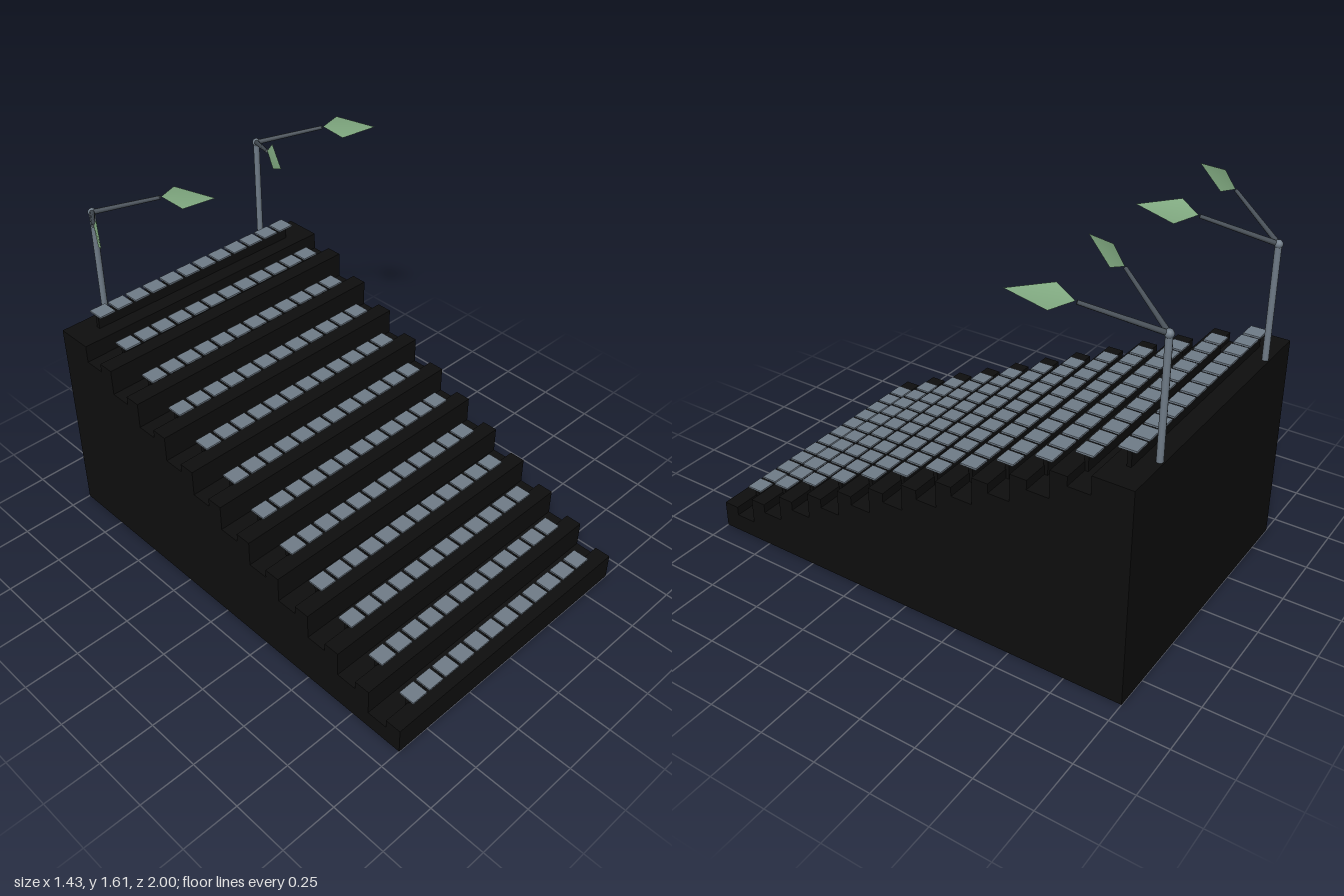
import * as THREE from 'three';

const concrete = new THREE.MeshStandardMaterial({ name: 'black concrete', color: 0x0e0e0e });
const slate = new THREE.MeshStandardMaterial({ name: 'slate grey', color: 0x707c88 });
const darkSteel = new THREE.MeshStandardMaterial({ name: 'dark steel', color: 0x474f57 });
const leafGreen = new THREE.MeshStandardMaterial({ name: 'lamp green', color: 0x8fbc8f, side: THREE.DoubleSide });

const ROWS = 12, SEATS = 12, WIDTH = 1.31;
const DEPTH = 2 / ROWS, RISE = 0.0787, FLOOR = 0.08;

function add(parent, name, geometry, material, x = 0, y = 0, z = 0) {
  const mesh = new THREE.Mesh(geometry, material);
  mesh.name = name;
  mesh.position.set(x, y, z);
  parent.add(mesh);
  return mesh;
}

// Stepped stand: side profile (depth, height) extruded across the width
function makeStand(parent) {
  const shape = new THREE.Shape();
  shape.moveTo(-1, 0);
  for (let i = 0; i < ROWS; i++) {
    const d = -1 + i * DEPTH, y = FLOOR + i * RISE;
    if (i < ROWS - 1) {
      // raised kerb at the front of each step
      shape.lineTo(d, y + 0.04);
      shape.lineTo(d + 0.072, y + 0.04);
      shape.lineTo(d + 0.072, y);
    } else {
      shape.lineTo(d, y);
    }
    shape.lineTo(d + DEPTH, y);
  }
  shape.lineTo(1, 0);
  shape.closePath();
  const geo = new THREE.ExtrudeGeometry(shape, { depth: WIDTH, bevelEnabled: false });
  geo.translate(0, 0, -WIDTH / 2);
  geo.rotateY(Math.PI / 2); // profile depth runs to -z
  add(parent, 'steppedStand', geo, concrete);
}

// One row: long support rail with twelve flat seats
function makeSeatRow(i) {
  const row = new THREE.Group();
  row.name = 'seatRow';
  row.position.set(0, FLOOR + i * RISE, 1 - i * DEPTH);
  add(row, 'seatSupport', new THREE.BoxGeometry(1.07, 0.07, 0.018), concrete, 0, 0.035, -0.077);
  const seat = new THREE.BoxGeometry(0.077, 0.008, 0.073);
  for (let s = 0; s < SEATS; s++) {
    add(row, 'seat', seat, slate, (s - (SEATS - 1) / 2) * 0.092, 0.073, -0.073);
  }
  return row;
}

// Lamp arm running from the joint to an end point
function makeArm(end) {
  const geo = new THREE.CylinderGeometry(0.008, 0.011, end.length(), 8);
  geo.translate(0, end.length() / 2, 0);
  const arm = new THREE.Mesh(geo, darkSteel);
  arm.name = 'lampArm';
  arm.quaternion.setFromUnitVectors(new THREE.Vector3(0, 1, 0), end.clone().normalize());
  return arm;
}

// Kite-shaped lamp panel at the end of an arm
function makePanel(side) {
  const geo = new THREE.BufferGeometry();
  geo.setAttribute('position', new THREE.Float32BufferAttribute([
    side * 0.163, 0.112, 0.262,
    side * 0.186, 0.173, 0.322,
    side * 0.272, 0.146, 0.47,
    side * 0.204, 0.072, 0.342,
  ], 3));
  geo.setIndex([0, 1, 2, 0, 2, 3]);
  geo.computeVertexNormals();
  const panel = new THREE.Mesh(geo, leafGreen);
  panel.name = 'lampPanel';
  return panel;
}

function makeLamp(x) {
  const lamp = new THREE.Group();
  lamp.name = 'floodlight';
  lamp.position.set(x, 1.44, -0.982);
  add(lamp, 'lampPole', new THREE.CylinderGeometry(0.014, 0.014, 0.5, 10), slate, 0, -0.25, 0);
  add(lamp, 'lampJoint', new THREE.SphereGeometry(0.018, 10, 8), slate);
  for (const side of [-1, 1]) {
    lamp.add(makeArm(new THREE.Vector3(side * 0.161, 0.108, 0.258)), makePanel(side));
  }
  return lamp;
}

export function createModel() {
  const model = new THREE.Group();
  model.name = 'grandstand';
  makeStand(model);
  for (let i = 0; i < ROWS; i++) model.add(makeSeatRow(i));
  model.add(makeLamp(-0.445), makeLamp(0.445));
  return model;
}
